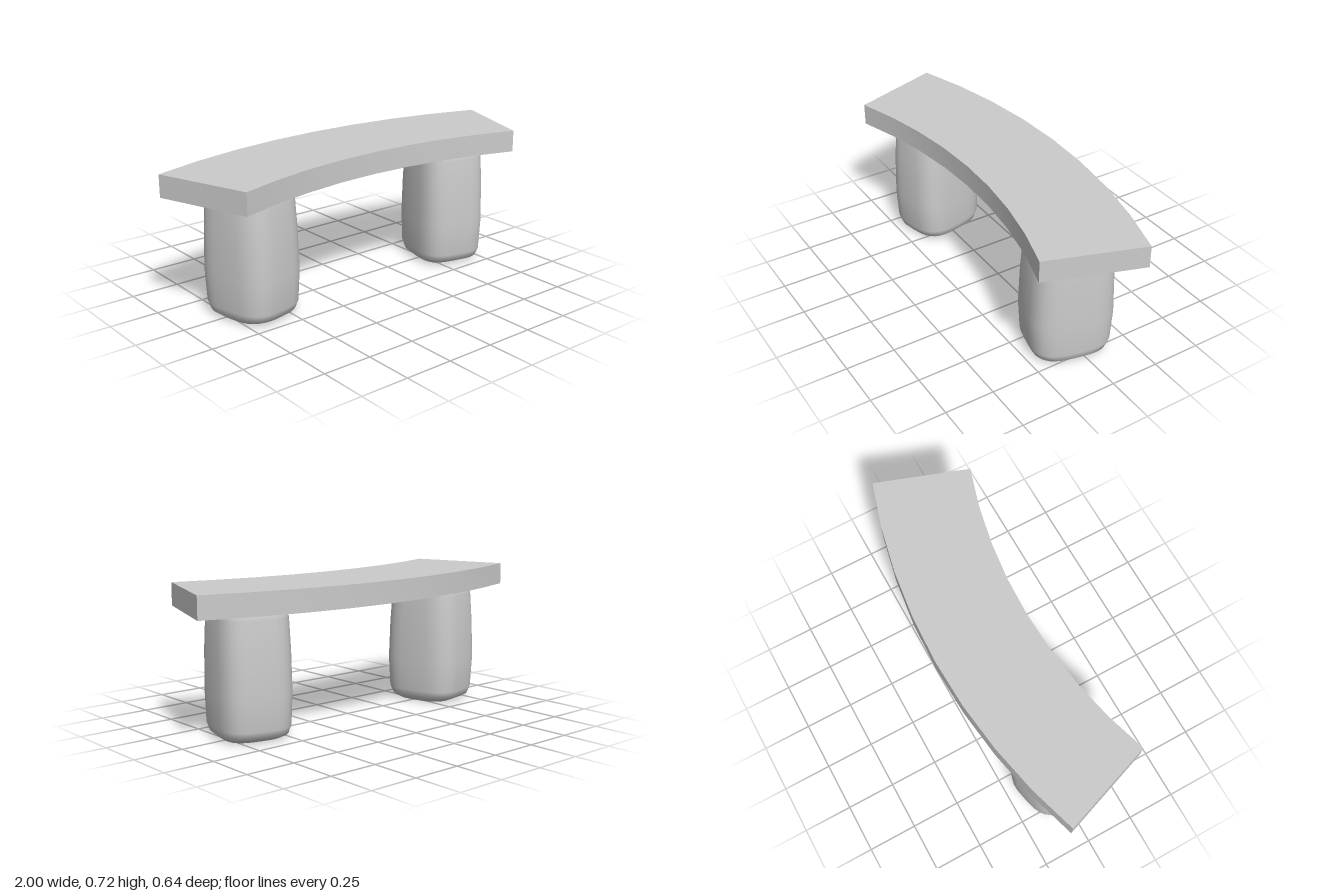
import * as THREE from 'three';
import { toCreasedNormals } from 'three/addons/utils/BufferGeometryUtils.js';

const material = new THREE.MeshStandardMaterial({ color: 0xcccccc });

// Curved slab: a sector of a ring, extruded upwards
function seatGeometry() {
  const centre = -2.708, outer = 3.03, inner = 2.53, half = 0.3363;
  const mid = Math.PI / 2;
  const shape = new THREE.Shape();
  shape.absarc(0, centre, outer, mid - half, mid + half, false);
  shape.absarc(0, centre, inner, mid + half, mid - half, true);
  const geo = new THREE.ExtrudeGeometry(shape, { depth: 0.112, bevelEnabled: false, curveSegments: 4 });
  geo.rotateX(-Math.PI / 2);
  geo.translate(0, 0.61, 0);
  return toCreasedNormals(geo, 0.4);
}

// Pillow-like leg: rounded-square rings stacked from the floor to the seat
function legGeometry() {
  const halfX = 0.184, halfZ = 0.214, power = 2 / 3.2, sides = 32;
  // height, width scale, depth scale
  const rings = [
    [0, 0, 0], [0, 0.45, 0.4], [0, 0.78, 0.68], [0.02, 0.91, 0.88], [0.06, 0.975, 0.955],
    [0.22, 1, 1], [0.42, 0.985, 0.965], [0.58, 0.95, 0.91], [0.612, 0.92, 0.865], [0.612, 0, 0],
  ];
  const round = (v) => Math.sign(v) * Math.abs(v) ** power;
  const positions = [], index = [];
  rings.forEach(([y, sx, sz], r) => {
    for (let i = 0; i < sides; i++) {
      const a = (i / sides) * Math.PI * 2;
      positions.push(halfX * sx * round(Math.cos(a)), y, halfZ * sz * round(Math.sin(a)));
      if (r === rings.length - 1) continue;
      const j = (i + 1) % sides;
      const p = r * sides + i, q = r * sides + j;
      if (r < rings.length - 2) index.push(p, p + sides, q + sides);
      if (r > 0) index.push(p, q + sides, q);
    }
  });
  const geo = new THREE.BufferGeometry();
  geo.setAttribute('position', new THREE.Float32BufferAttribute(positions, 3));
  geo.setIndex(index);
  geo.computeVertexNormals();
  // the collapsed centre rings point straight down and up
  const normal = geo.attributes.normal;
  for (let i = 0; i < sides; i++) {
    normal.setXYZ(i, 0, -1, 0);
    normal.setXYZ((rings.length - 1) * sides + i, 0, 1, 0);
  }
  return geo;
}

export function createModel() {
  const bench = new THREE.Group();
  bench.name = 'curvedBench';

  const seat = new THREE.Mesh(seatGeometry(), material);
  seat.name = 'seat';
  bench.add(seat);

  // Legs turned to follow the curve of the seat
  const geo = legGeometry();
  for (const side of [-1, 1]) {
    const leg = new THREE.Mesh(geo, material);
    leg.name = side > 0 ? 'leftLeg' : 'rightLeg';
    leg.position.set(side * 0.62, 0, 0.012);
    leg.rotation.y = -side * 0.226;
    bench.add(leg);
  }
  return bench;
}
